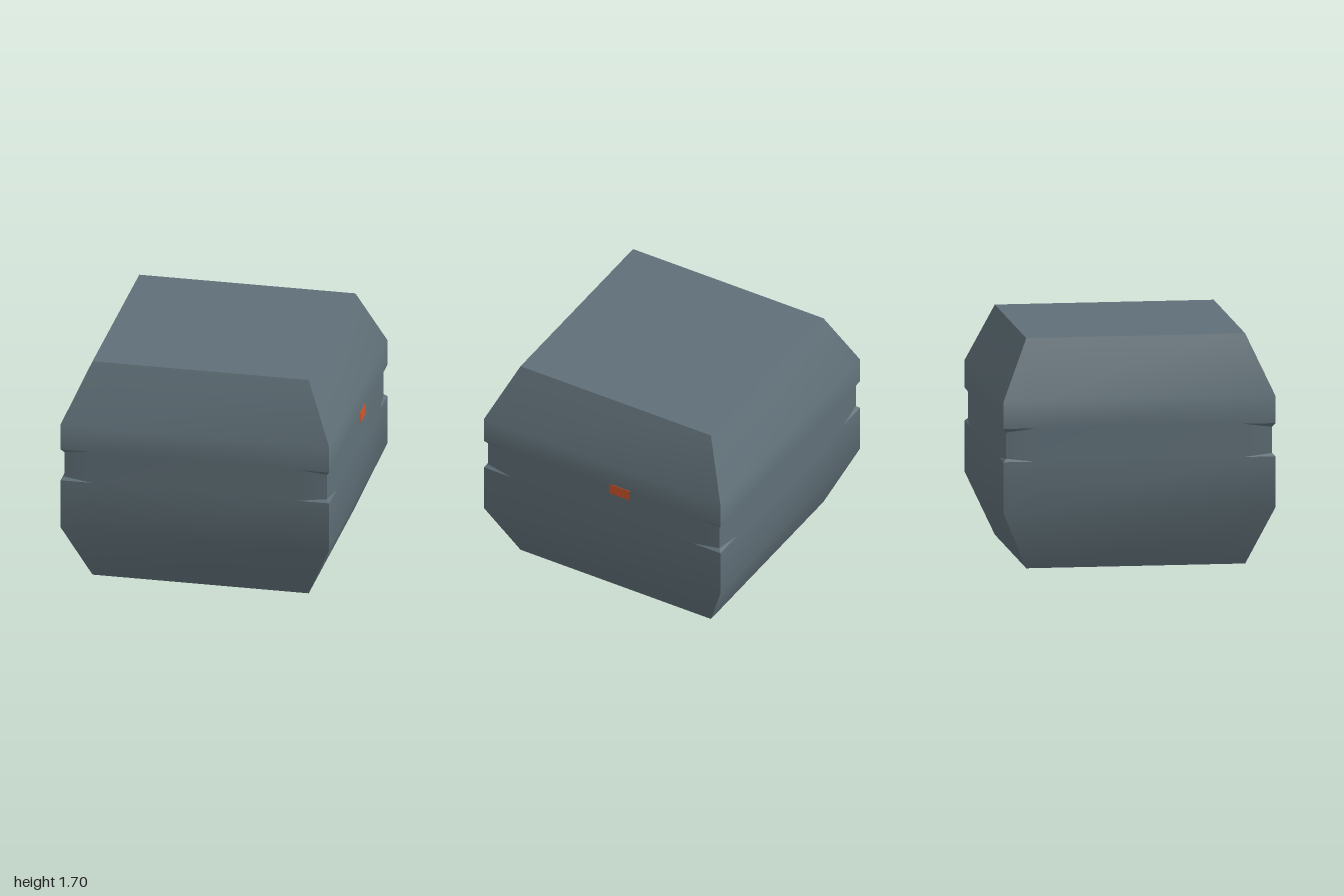
import * as THREE from 'three';

// Rows of the side profile: [height, half width]
const ROWS = [[0, 0.805], [0.44, 1], [0.815, 1], [1.06, 1], [1.26, 1], [1.695, 0.805]];
const INNER = 0.765; // where each corner notch starts
const DEEP = 0.977; // corner position inside a notch
const NOTCH_ROW = 2;

// One side, facing +z: smooth over the bevels, with a pinched notch at each corner
function sideGeometry() {
  const pos = [];
  const idx = [];
  const point = (x, y, z) => pos.push(x, y, z) / 3 - 1;
  const quad = (a, b, c, d) => idx.push(a, b, c, a, c, d);
  const grid = ROWS.map(([y, w]) => [-1, -INNER, INNER, 1].map((u) => point(u * w, y, w)));

  for (let r = 0; r < ROWS.length - 1; r++) {
    for (let c = 0; c < 3; c++) {
      if (r === NOTCH_ROW && c !== 1) continue;
      quad(grid[r][c], grid[r][c + 1], grid[r + 1][c + 1], grid[r + 1][c]);
    }
  }

  // Notch walls and their small sharp ledges
  const low = ROWS[NOTCH_ROW][0];
  const high = ROWS[NOTCH_ROW + 1][0];
  for (const s of [-1, 1]) {
    const col = s < 0 ? 1 : 2;
    const face = (...p) => {
      if (s < 0) p.reverse();
      for (let i = 1; i < p.length - 1; i++) idx.push(p[0], p[i], p[i + 1]);
    };
    face(grid[NOTCH_ROW][col], point(s * DEEP, low + 0.022, DEEP),
      point(s * DEEP, high - 0.03, DEEP), grid[NOTCH_ROW + 1][col]);
    face(point(s * INNER, low, 1), point(s, low, 1), point(s * DEEP, low + 0.022, DEEP));
    face(point(s * INNER, high, 1), point(s * DEEP, high - 0.03, DEEP), point(s, high, 1));
  }

  const geo = new THREE.BufferGeometry();
  geo.setAttribute('position', new THREE.Float32BufferAttribute(pos, 3));
  geo.setIndex(idx);
  geo.computeVertexNormals();
  return geo;
}

// Flat rounded rectangle
function roundedPlate(w, h, r) {
  const s = new THREE.Shape();
  const x = w / 2;
  const y = h / 2;
  s.absarc(x - r, y - r, r, 0, Math.PI / 2);
  s.absarc(r - x, y - r, r, Math.PI / 2, Math.PI);
  s.absarc(r - x, r - y, r, Math.PI, Math.PI * 1.5);
  s.absarc(x - r, r - y, r, Math.PI * 1.5, Math.PI * 2);
  return new THREE.ExtrudeGeometry(s, { depth: 0.003, bevelEnabled: false, curveSegments: 4 });
}

export function createModel() {
  const model = new THREE.Group();
  model.name = 'bevelledCrate';
  const slate = new THREE.MeshStandardMaterial({ color: 0x607078 });
  slate.name = 'slate grey';
  const orange = new THREE.MeshStandardMaterial({ color: 0xd0562a });
  orange.name = 'orange';

  // Four identical sides
  const side = sideGeometry();
  ['frontSide', 'leftSide', 'backSide', 'rightSide'].forEach((name, i) => {
    const mesh = new THREE.Mesh(side, slate);
    mesh.name = name;
    mesh.rotation.y = i * Math.PI / 2;
    model.add(mesh);
  });

  // Flat top and bottom
  const [y0, w] = ROWS[0];
  const cap = new THREE.PlaneGeometry(2 * w, 2 * w);
  for (const [name, y, tilt] of [['top', ROWS[ROWS.length - 1][0], -1], ['bottom', y0, 1]]) {
    const mesh = new THREE.Mesh(cap, slate);
    mesh.name = name;
    mesh.position.y = y;
    mesh.rotation.x = tilt * Math.PI / 2;
    model.add(mesh);
  }

  // Small indicator on the left side
  const light = new THREE.Mesh(roundedPlate(0.172, 0.084, 0.016), orange);
  light.name = 'indicator';
  light.position.set(1, 1.043, -0.147);
  light.rotation.y = Math.PI / 2;
  model.add(light);

  return model;
}
